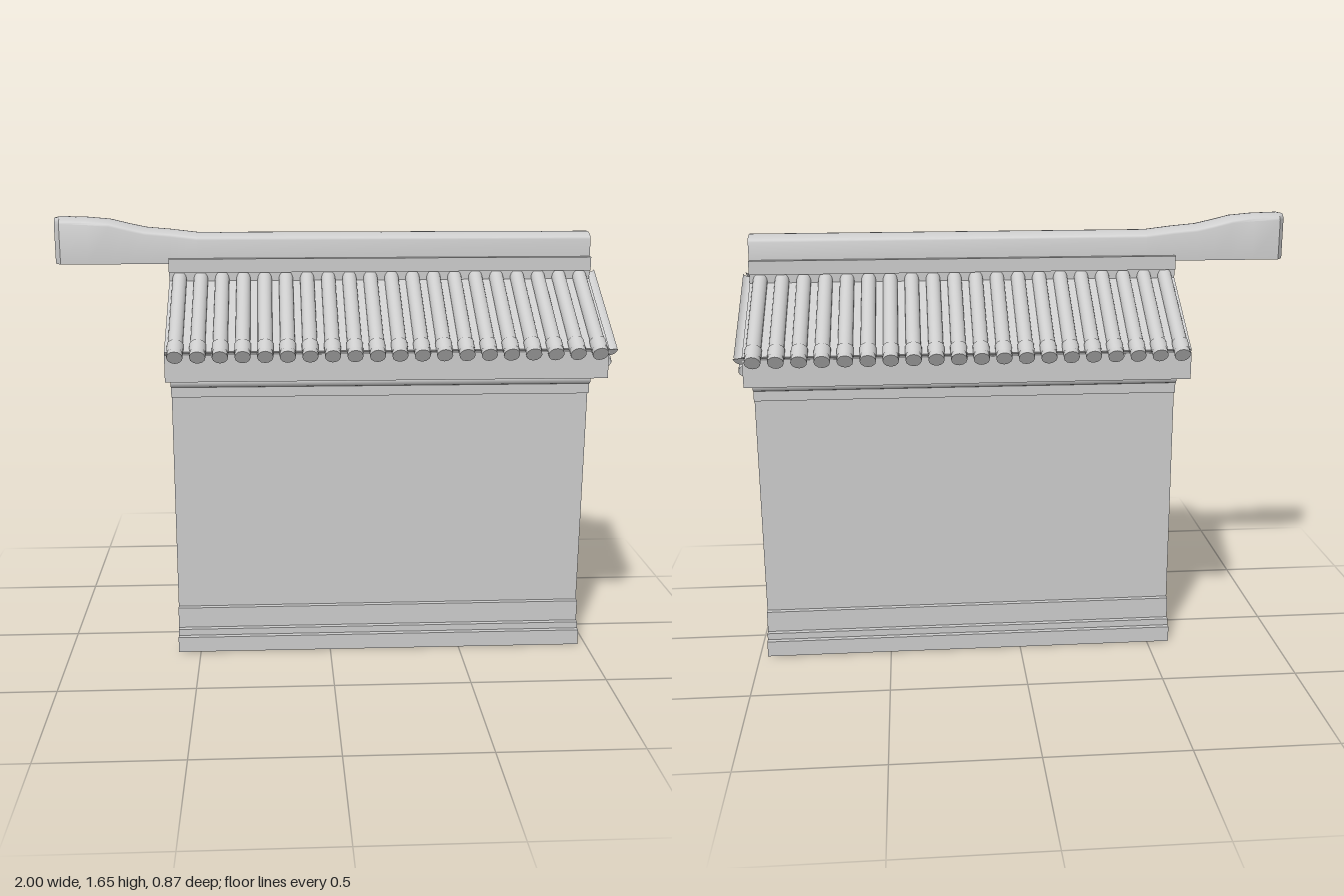
import * as THREE from 'three';
import { toCreasedNormals } from 'three/addons/utils/BufferGeometryUtils.js';

const mat = new THREE.MeshStandardMaterial({ color: 0xcccccc, side: THREE.DoubleSide });
const X0 = -0.585, X1 = 0.97, XC = (X0 + X1) / 2, LEN = X1 - X0;

function add(parent, name, geo, x = 0, y = 0, z = 0) {
  const m = new THREE.Mesh(geo, mat);
  m.name = name;
  m.position.set(x, y, z);
  parent.add(m);
  return m;
}

// box running the length of the wall between two heights and two depths
function beam(parent, name, y0, y1, z0, z1) {
  return add(parent, name, new THREE.BoxGeometry(LEN, y1 - y0, Math.abs(z1 - z0)), XC, (y0 + y1) / 2, (z0 + z1) / 2);
}

// skin over a list of open cross-sections, each a list of [x, y, z]
function loft(sections, capStart = false) {
  const n = sections[0].length, idx = [];
  for (let i = 0; i < sections.length - 1; i++) {
    for (let j = 0; j < n - 1; j++) {
      const a = i * n + j, c = a + n;
      idx.push(a, a + 1, c, a + 1, c + 1, c);
    }
  }
  if (capStart) for (let j = 1; j < n - 1; j++) idx.push(0, j + 1, j);
  const g = new THREE.BufferGeometry();
  g.setAttribute('position', new THREE.Float32BufferAttribute(sections.flat(2), 3));
  g.setIndex(idx);
  return toCreasedNormals(g, 0.6);
}

// arc of a cylinder lying along z, from z0 to z1
function trough(r, z0, z1, start, sweep, closed = false) {
  return new THREE.CylinderGeometry(r, r, z1 - z0, 12, 1, !closed, start, sweep)
    .rotateX(Math.PI / 2).translate(0, 0, (z0 + z1) / 2);
}

// thin wall face with a stepped plinth
function wallFace(parent, side) {
  let profile = [[1.02, 0.13], [0.165, 0.13], [0.165, 0.15], [0.085, 0.15],
    [0.085, 0.17], [0.06, 0.17], [0.06, 0.19], [0, 0.19]];
  if (side < 0) profile = profile.reverse();
  const at = x => profile.map(([y, z]) => [x, y, z * side]);
  add(parent, 'wallFace', loft([at(X0), at(X1)]));
  // moulding at the head of the wall
  beam(parent, 'mouldingBand', 1.0, 1.12, side * 0.13, side * 0.15);
  add(parent, 'mouldingRoll', new THREE.CylinderGeometry(0.02, 0.02, LEN, 14).rotateZ(Math.PI / 2),
    XC, 1.057, side * 0.147);
}

// one tiled slope; local +z runs down towards the eave
function roofSlope(parent, side) {
  const turn = new THREE.Group();
  turn.name = 'roofSlope';
  turn.position.x = XC;
  turn.rotation.y = side > 0 ? 0 : Math.PI;
  parent.add(turn);
  const slope = new THREE.Group();
  slope.name = 'tiles';
  slope.position.set(0, 1.445, 0.03);
  slope.rotation.x = 0.56;
  turn.add(slope);

  add(slope, 'tileBed', new THREE.BoxGeometry(LEN, 0.012, 0.425), 0, -0.01, 0.2125);

  const cover = trough(0.026, 0, 0.45, Math.PI / 2, Math.PI);
  const collar = trough(0.029, 0.395, 0.44, Math.PI / 2, Math.PI);
  const cap = trough(0.028, 0.44, 0.458, 0, Math.PI * 2, true);
  const pan = trough(0.03, 0, 0.432, -0.95, 1.9);
  const drip = new THREE.CircleGeometry(0.028, 10, Math.PI, Math.PI);
  const step = 0.0779;
  for (let i = 0; i < 20; i++) {
    const x = side * (-0.74 + i * step);
    add(slope, 'coverTile', cover, x);
    add(slope, 'coverCollar', collar, x);
    add(slope, 'eaveCap', cap, x);
    const px = x + side * step / 2;
    add(slope, 'panTile', pan, px, 0.02);
    add(slope, 'dripTile', drip, px, -0.002, 0.432);
  }

  // eave board
  add(turn, 'eaveBoard', new THREE.BoxGeometry(LEN, 0.095, 0.04), 0, 1.157, 0.37);

  // round rafters at both gable ends
  const a = new THREE.Vector3(0, 1.39, 0), b = new THREE.Vector3(0, 1.16, 0.36);
  const rafter = new THREE.TubeGeometry(new THREE.LineCurve3(a, b), 1, 0.026, 12);
  for (const x of [-0.748, 0.77]) add(turn, 'gableRafter', rafter, side * x);
}

// rounded ridge capping, rising into a long blunt tail
function ridgeCap(parent) {
  const stations = [[-1, 1.645, 0.025], [-0.978, 1.65, 0.057], [-0.88, 1.647, 0.057], [-0.8, 1.64, 0.057],
    [-0.73, 1.623, 0.057], [-0.67, 1.61, 0.057], [-0.58, 1.602, 0.057], [-0.48, 1.59, 0.057], [X1, 1.588, 0.057]];
  const sections = stations.map(([x, top, w]) => {
    const pts = [[x, 1.48, -w]];
    for (let k = 0; k <= 10; k++) {
      const t = Math.PI * k / 10;
      pts.push([x, top - 0.025 + 0.025 * Math.sin(t), -w * Math.cos(t)]);
    }
    pts.push([x, 1.48, w]);
    return pts;
  });
  add(parent, 'ridgeCap', loft(sections, true));
}

export function createModel() {
  const model = new THREE.Group();
  model.name = 'tiledWall';
  for (const side of [1, -1]) {
    wallFace(model, side);
    roofSlope(model, side);
  }
  beam(model, 'wallHead', 1.12, 1.3, -0.16, 0.16);
  beam(model, 'ridgeFoot', 1.41, 1.45, -0.065, 0.065);
  beam(model, 'ridgeBase', 1.45, 1.5, -0.08, 0.08);
  ridgeCap(model);
  return model;
}
